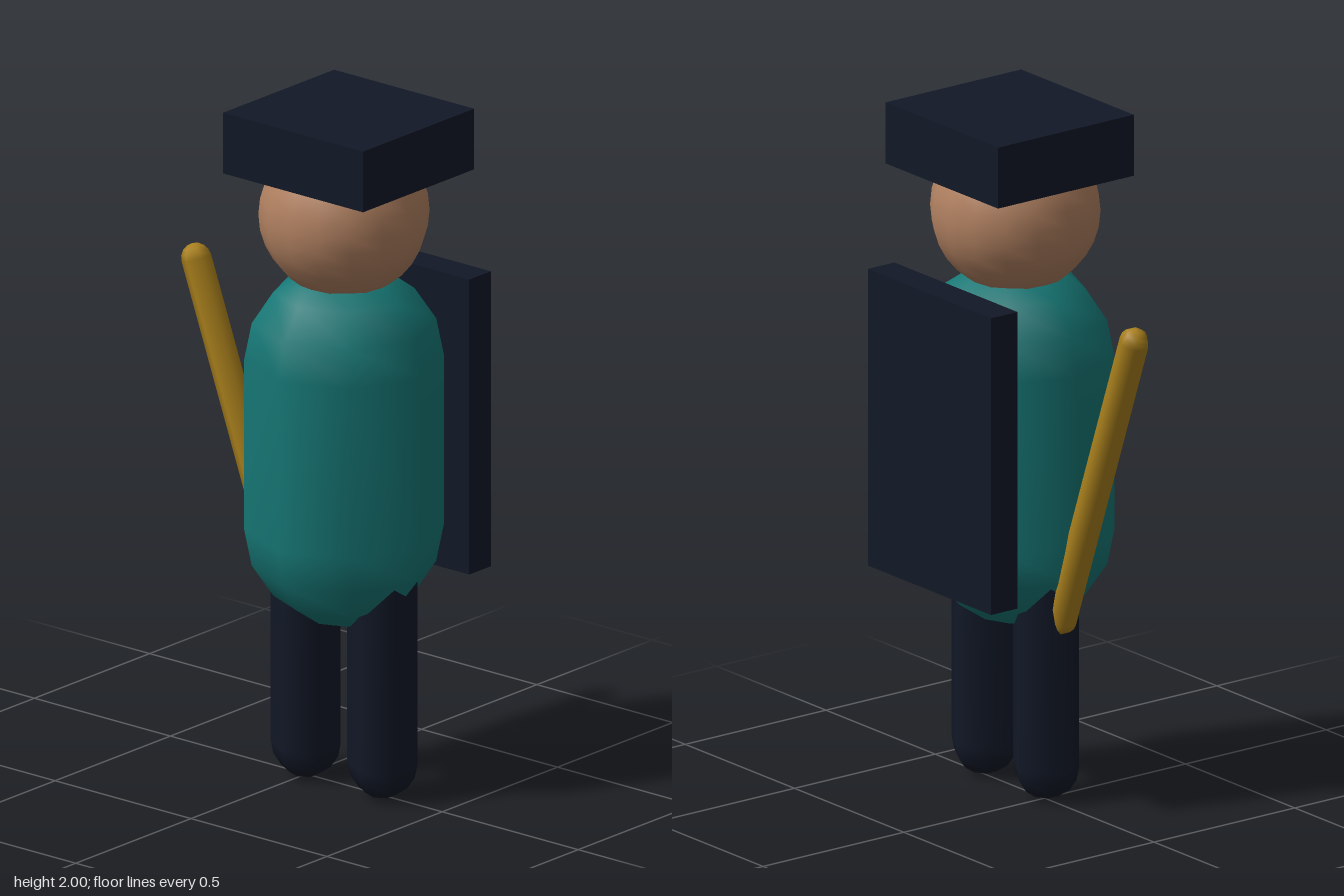
import * as THREE from 'three';

const material = (color) => new THREE.MeshStandardMaterial({ color });

// Low-sided capsule: quarter arcs joined by a straight wall, turned about y
function capsule(radius, length, sides) {
  const profile = [];
  for (let end = -1; end <= 1; end += 2) {
    for (let i = 0; i <= 4; i++) {
      const a = (end < 0 ? i - 4 : i) * Math.PI / 8;
      profile.push(new THREE.Vector2(Math.max(0, radius * Math.cos(a)), end * length / 2 + radius * Math.sin(a)));
    }
  }
  return new THREE.LatheGeometry(profile, sides);
}

export function createModel() {
  const model = new THREE.Group();
  const dark = material(0x111827);
  const teal = material(0x167775);
  const skin = material(0xb08060);
  const gold = material(0xa87f1c);
  const cx = 0.147, cz = 0.01; // body axis

  const add = (name, geometry, mat, x, y, z) => {
    const mesh = new THREE.Mesh(geometry, mat);
    mesh.name = name;
    mesh.position.set(x, y, z);
    model.add(mesh);
    return mesh;
  };

  // Body and head
  add('torso', capsule(0.281, 0.505, 8), teal, cx, 1.022, cz);
  add('head', new THREE.SphereGeometry(0.241, 16, 16), skin, cx, 1.705, cz);

  // Legs
  for (const side of [-1, 1]) {
    add(side < 0 ? 'rightLeg' : 'leftLeg', capsule(0.1, 0.56, 6), dark, cx + side * 0.141, 0.38, cz);
  }

  // Flat hat and back panel
  add('hat', new THREE.BoxGeometry(0.515, 0.18, 0.482), dark, cx, 1.91, -0.01);
  add('backPanel', new THREE.BoxGeometry(0.563, 0.876, 0.094), dark, cx, 1.073, -0.248);

  // Staff leaning outward on the right
  const staff = add('staff', capsule(0.044, 0.96, 6), gold, -0.231, 0.995, cz);
  staff.rotation.z = 0.35;

  return model;
}
